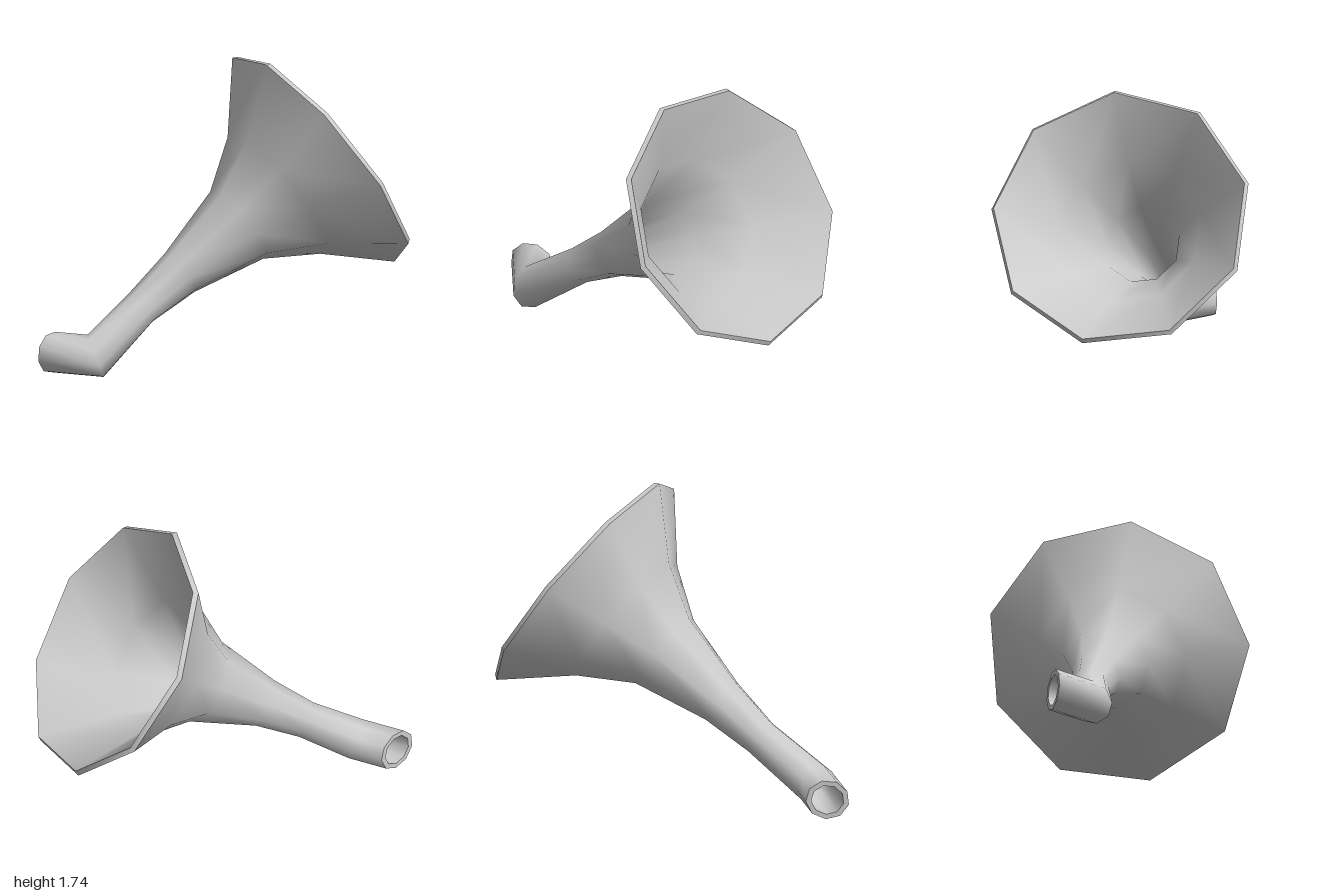
import * as THREE from 'three';

const SIDES = 9;
const V = (x, y, z) => new THREE.Vector3(x, y, z);

// Axis of the bell, and the two directions spanning its cross-sections
const axis = V(0.402, 0.553, -0.729).normalize();
const up = V(-0.106, 0.82, 0.563).projectOnPlane(axis).normalize();
const side = axis.clone().cross(up);

// Regular ring of points square to the bell axis
function ring(center, radius) {
  return Array.from({ length: SIDES }, (_, i) => {
    const a = (i / SIDES) * Math.PI * 2;
    return center.clone()
      .addScaledVector(up, Math.cos(a) * radius)
      .addScaledVector(side, Math.sin(a) * radius);
  });
}

// Slide a ring along a direction until it lies in the given plane
function slide(points, direction, center, normal) {
  return points.map((p) => {
    const t = center.clone().sub(p).dot(normal) / direction.dot(normal);
    return p.clone().addScaledVector(direction, t);
  });
}

// Skin a list of rings
function loft(name, rings, material) {
  const positions = rings.flat().flatMap((p) => [p.x, p.y, p.z]);
  const index = [];
  for (let r = 0; r < rings.length - 1; r++) {
    for (let i = 0; i < SIDES; i++) {
      const j = (i + 1) % SIDES;
      const a = r * SIDES + i, b = r * SIDES + j;
      index.push(a, b, b + SIDES, a, b + SIDES, a + SIDES);
    }
  }
  const geometry = new THREE.BufferGeometry();
  geometry.setAttribute('position', new THREE.Float32BufferAttribute(positions, 3));
  geometry.setIndex(index);
  geometry.computeVertexNormals();
  const mesh = new THREE.Mesh(geometry, material);
  mesh.name = name;
  return mesh;
}

// Bent mouthpiece: end and mitred elbow
const END = V(-0.79, 0.138, 0.88);
const ELBOW = V(-0.53, 0.135, 0.81);
const NECK = V(-0.42, 0.38, 0.50);
const endNormal = V(1, 0, 0.06).normalize();
const pipeDir = ELBOW.clone().sub(END).normalize();
const neckDir = NECK.clone().sub(ELBOW).normalize();
const miter = pipeDir.clone().add(neckDir).normalize();

// Bell stations: centre, radius, inner shift along the axis, inner radius reduction
const STATIONS = [
  [NECK, 0.108, 0, 0.028],
  [V(-0.30, 0.555, 0.28), 0.142, 0.004, 0.03],
  [V(-0.12, 0.795, -0.045), 0.25, 0.012, 0.028],
  [V(0.0, 0.945, -0.262), 0.435, 0.02, 0.025],
  [V(0.131, 1.13, -0.499), 0.762, 0.027, 0.018],
];

function shellRings(inner) {
  const bell = STATIONS.map(([c, r, shift, shrink]) =>
    inner ? ring(c.clone().addScaledVector(axis, shift), r - shrink) : ring(c, r));
  const elbow = slide(ring(ELBOW, inner ? 0.09 : 0.12), neckDir, ELBOW, miter);
  const end = slide(elbow, pipeDir, END, endNormal);
  return [end, elbow, ...bell];
}

export function createModel() {
  const group = new THREE.Group();
  group.name = 'horn';
  const material = new THREE.MeshStandardMaterial({ color: 0xcccccc, side: THREE.DoubleSide });

  const outer = shellRings(false);
  const inner = shellRings(true);
  const last = outer.length - 1;

  group.add(
    loft('outerHorn', outer, material),
    loft('innerHorn', [...inner].reverse(), material),
    loft('bellLip', [outer[last], inner[last]], material),
    loft('mouthpieceRim', [inner[0], outer[0]], material),
  );
  return group;
}
